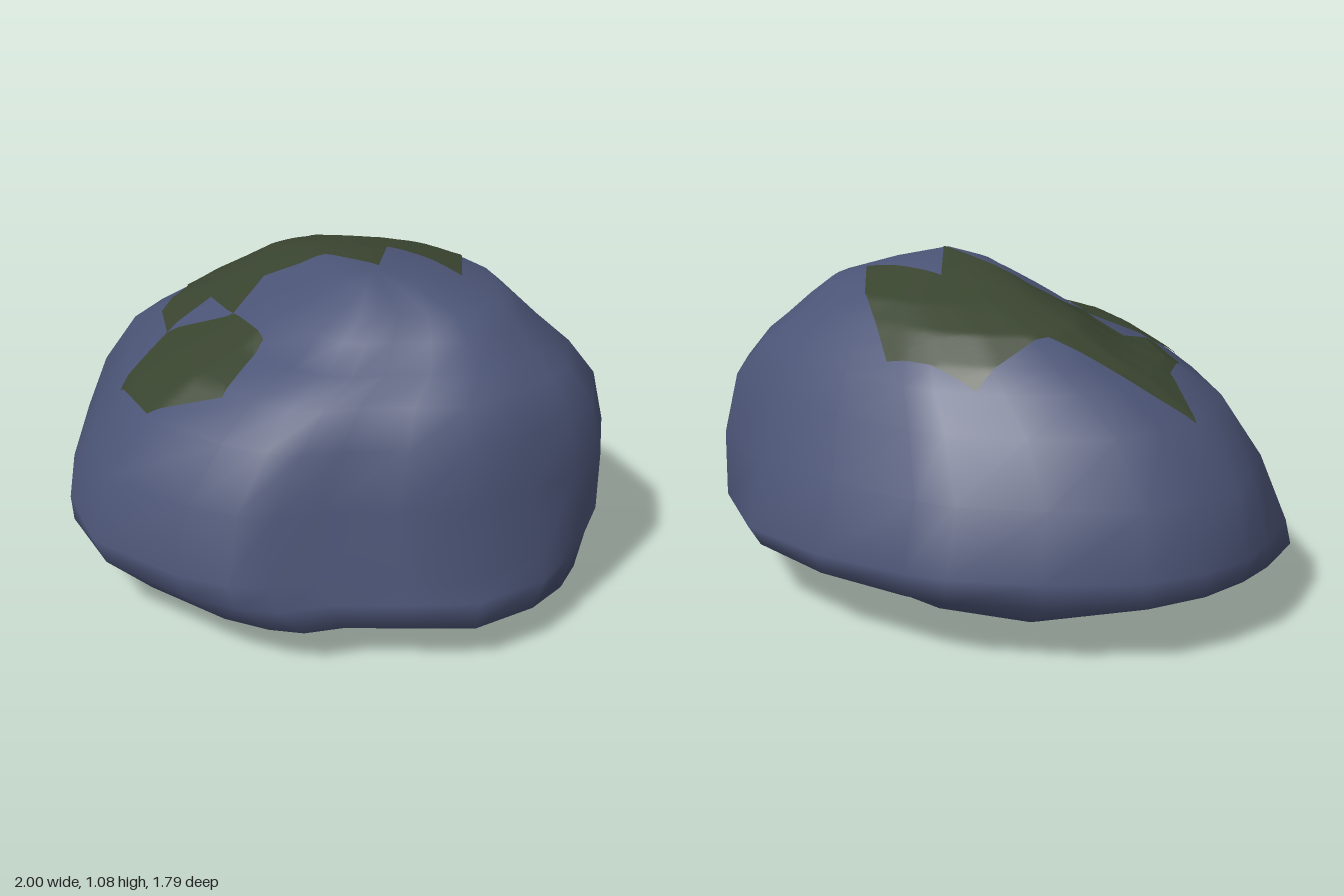
import * as THREE from 'three';
import { mergeVertices } from 'three/addons/utils/BufferGeometryUtils.js';

// Widest outline (x, z), counter-clockwise seen from above
const DEPTH = 0.89;
const OUTLINE = [
  [1, -0.16], [0.94, -0.35], [0.86, -0.5], [0.67, -0.7], [0.37, -0.86], [0.03, -0.89],
  [-0.3, -0.82], [-0.43, -0.77], [-0.67, -0.6], [-0.89, -0.39], [-0.97, -0.2], [-1, -0.02],
  [-0.97, 0.14], [-0.89, 0.36], [-0.55, 0.63], [-0.28, 0.8], [0.03, 0.89], [0.38, 0.82],
  [0.54, 0.74], [0.64, 0.65], [0.7, 0.5], [0.85, 0.3], [0.98, 0.11],
];

// Cross-sections from bottom to top: y, xMin, xMax, zMin, zMax,
// then the swelling of the corners: back +x, back -x, front -x, front +x
const SECTIONS = [
  [0.005, -0.22, 0.02, -0.05, 0.2, 0, 0, 0, 0],
  [0.03, -0.38, 0.5, -0.27, 0.35, 0.1, 0.15, 0.1, 0.1],
  [0.06, -0.52, 0.75, -0.45, 0.6, 0.12, 0.25, 0.15, 0.06],
  [0.13, -0.74, 1, -0.68, 0.78, 0.03, 0.28, 0.2, -0.03],
  [0.2, -0.98, 0.985, -0.85, 0.87, 0, 0.04, 0.04, -0.02],
  [0.28, -1, 0.965, -0.89, 0.9, 0.03, 0, -0.02, -0.02],
  [0.49, -0.94, 0.92, -0.8, 0.84, 0.11, 0.03, -0.08, -0.04],
  [0.68, -0.78, 0.9, -0.715, 0.72, 0.12, 0.06, -0.05, -0.03],
  [0.79, -0.62, 0.82, -0.65, 0.575, 0.1, 0.08, -0.1, 0],
  [0.85, -0.53, 0.76, -0.6, 0.4, 0.06, 0.1, -0.15, 0.03],
  [0.93, -0.4, 0.68, -0.53, 0.285, 0.03, 0.09, -0.2, 0.04],
  [0.99, -0.2, 0.61, -0.46, 0.2, 0, 0.05, -0.2, 0.04],
  [1.045, 0.05, 0.45, -0.25, 0.1, 0, 0, 0, 0],
];

// Moss outlines (x, z)
const MOSS = {
  mossCrown: [
    [-0.34, -0.53], [-0.02, -0.6], [0.24, -0.45], [0.44, -0.26], [0.11, -0.23],
    [0.31, -0.02], [0.03, -0.02], [-0.15, 0.09], [-0.08, 0.27], [-0.32, 0.19],
    [-0.28, 0.4], [-0.49, 0.28], [-0.59, 0.1], [-0.79, -0.02], [-0.4, -0.27],
  ],
  mossFront: [
    [-0.28, 0.4], [-0.08, 0.27], [0.19, 0.35], [0.27, 0.57], [0.06, 0.71], [-0.22, 0.63],
  ],
};

// Stone body: the outline fitted to each section, closed at both ends
function stoneGeometry() {
  const n = OUTLINE.length;
  const pos = [];
  const index = [];
  const clamp = (v) => THREE.MathUtils.clamp(v, -1, 1);
  for (const [y, x0, x1, z0, z1, ...swell] of SECTIONS) {
    for (const [u, oz] of OUTLINE) {
      const w = oz / DEPTH;
      const corner = w < 0 ? (u > 0 ? 0 : 1) : u < 0 ? 2 : 3;
      const s = 1 + 2 * swell[corner] * Math.abs(u * w);
      pos.push(
        (x0 + x1) / 2 + (clamp(u * s) * (x1 - x0)) / 2,
        y,
        (z0 + z1) / 2 + (clamp(w * s) * (z1 - z0)) / 2,
      );
    }
  }
  const bottom = pos.length / 3;
  const top = bottom + 1;
  pos.push(-0.1, 0, 0.08, 0.31, 1.08, 0);
  const last = (SECTIONS.length - 1) * n;
  for (let j = 0; j < n; j++) {
    const k = (j + 1) % n;
    for (let r = 0; r < last; r += n) {
      index.push(r + j, r + k, r + n + k, r + j, r + n + k, r + n + j);
    }
    index.push(bottom, k, j, top, last + j, last + k);
  }
  const geo = new THREE.BufferGeometry();
  geo.setAttribute('position', new THREE.Float32BufferAttribute(pos, 3));
  geo.setIndex(index);
  geo.computeVertexNormals();
  return geo;
}

// Split every triangle into four
function subdivide(geo) {
  const p = geo.toNonIndexed().getAttribute('position');
  const out = [];
  for (let i = 0; i < p.count; i += 3) {
    const [a, b, c] = [0, 1, 2].map((k) => new THREE.Vector3().fromBufferAttribute(p, i + k));
    const ab = a.clone().lerp(b, 0.5);
    const bc = b.clone().lerp(c, 0.5);
    const ca = c.clone().lerp(a, 0.5);
    for (const v of [a, ab, ca, ab, b, bc, ca, bc, c, ab, bc, ca]) out.push(v.x, v.y, v.z);
  }
  const res = new THREE.BufferGeometry();
  res.setAttribute('position', new THREE.Float32BufferAttribute(out, 3));
  return mergeVertices(res);
}

// Moss patch: a flat shape draped over the stone
function mossGeometry(points, stone) {
  const shape = new THREE.Shape(points.map(([x, z]) => new THREE.Vector2(x, -z)));
  let geo = new THREE.ShapeGeometry(shape).rotateX(-Math.PI / 2);
  for (let i = 0; i < 4; i++) geo = subdivide(geo);
  const p = geo.getAttribute('position');
  const ray = new THREE.Raycaster();
  const down = new THREE.Vector3(0, -1, 0);
  for (let i = 0; i < p.count; i++) {
    ray.set(new THREE.Vector3(p.getX(i), 2, p.getZ(i)), down);
    const hit = ray.intersectObject(stone)[0];
    if (hit) p.setY(i, hit.point.y + 0.007);
  }
  geo.computeVertexNormals();
  return geo;
}

export function createModel() {
  const stoneMat = new THREE.MeshStandardMaterial({ color: 0x4c5577 });
  stoneMat.name = 'slate blue stone';
  const mossMat = new THREE.MeshStandardMaterial({ color: 0x3a4530 });
  mossMat.name = 'dark green moss';

  const group = new THREE.Group();
  group.name = 'mossyBoulder';
  const stone = new THREE.Mesh(stoneGeometry(), stoneMat);
  stone.name = 'stone';
  group.add(stone);
  for (const [name, points] of Object.entries(MOSS)) {
    const moss = new THREE.Mesh(mossGeometry(points, stone), mossMat);
    moss.name = name;
    group.add(moss);
  }
  return group;
}
